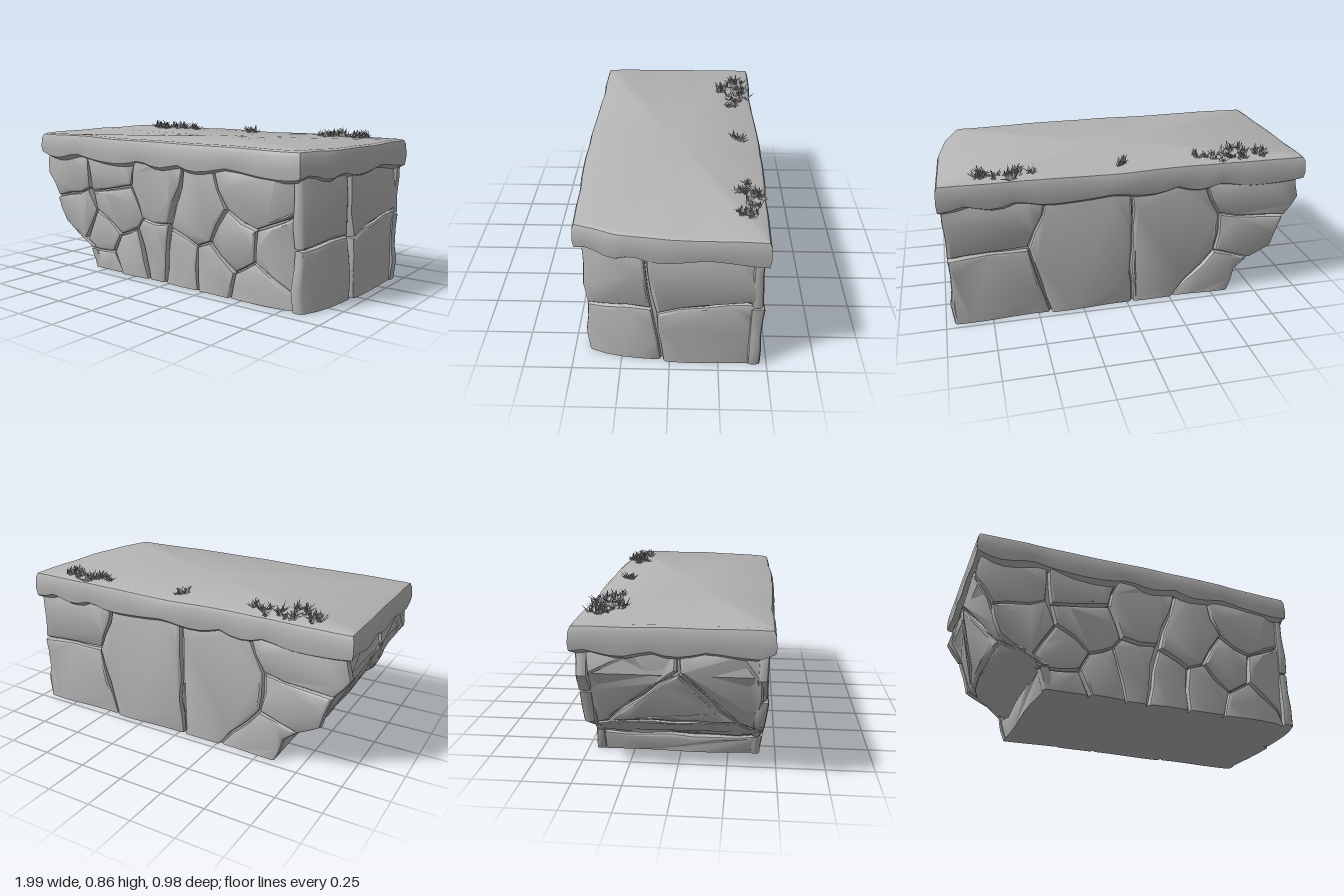
import * as THREE from 'three';
import { mergeGeometries, toCreasedNormals } from 'three/addons/utils/BufferGeometryUtils.js';

const stone = new THREE.MeshStandardMaterial({ color: 0xb4b4b4 });
stone.name = 'grey stone';
const foliage = new THREE.MeshStandardMaterial({ color: 0xa8a8a8, side: THREE.DoubleSide });
foliage.name = 'grey foliage';

let seed = 7;
const rand = () => (seed = (seed * 16807) % 2147483647) / 2147483647;

// Smooth unevenness, the same for coincident points
const rough = (a, b, c = 0) =>
  0.5 * Math.sin(a * 11 + b * 5 + c * 3) + 0.5 * Math.sin(b * 17 - a * 7 + c * 9 + 1.3);

// Profile [x, y] of the overhanging left end, and the curved right end
const overhang = [[-0.6, 0], [-0.64, 0.13], [-0.73, 0.18], [-0.84, 0.26], [-0.9, 0.43], [-0.99, 0.56], [-0.97, 0.69]];
function leftX(y) {
  const i = Math.max(1, overhang.findIndex(p => y <= p[1]));
  const [x0, y0] = overhang[i - 1], [x1, y1] = overhang[i];
  return THREE.MathUtils.mapLinear(THREE.MathUtils.clamp(y, y0, y1), y0, y1, x0, x1);
}
const rightX = z => 0.95 - 0.5 * Math.max(0, z) ** 2;

// Closed outline with each edge split into pieces of about the given length
function divide(corners, step) {
  return corners.flatMap(([x, y], i) => {
    const [x1, y1] = corners[(i + 1) % corners.length];
    const n = Math.ceil(Math.hypot(x1 - x, y1 - y) / step);
    return Array.from({ length: n }, (_, k) => [x + (x1 - x) * k / n, y + (y1 - y) * k / n]);
  });
}

// Skin over rings of [x, y, z], closed at both ends
function loft(rings) {
  const n = rings[0].length, top = rings.length - 1, pos = rings.flat(2), index = [];
  pos.push(0.1, rings[0][0][1], 0, 0, rings[top][0][1], 0);
  const low = rings.length * n;
  for (let i = 0; i < n; i++) {
    const j = (i + 1) % n;
    for (let r = 0; r < top * n; r += n) index.push(r + i, r + j, r + j + n, r + i, r + j + n, r + i + n);
    index.push(low, j, i, low + 1, top * n + i, top * n + j);
  }
  const g = new THREE.BufferGeometry();
  g.setAttribute('position', new THREE.Float32BufferAttribute(pos, 3));
  g.setIndex(index);
  return toCreasedNormals(g, 0.6);
}

// Each wall: its outline, one seed per stone, and where (along, up, out) lies in the model
const side = [[-0.43, 0], [0.44, 0], [0.44, 0.69], [-0.43, 0.69]];
const walls = {
  front: {
    outline: [[0.86, 0], [0.85, 0.69], ...overhang.toReversed()],
    seeds: [[-0.8, 0.57], [-0.74, 0.32], [-0.42, 0.61], [-0.38, 0.39], [-0.08, 0.52], [0.2, 0.42], [0.1, 0.13], [0.31, 0.12],
      [0.6, 0.55], [0.46, 0.27], [0.73, 0.27], [0.58, 0.08], [-0.1, 0.17], [-0.28, 0.12], [-0.5, 0.19], [-0.5, 0.04]],
    place: (s, y, d) => [s, y, 0.385 + 0.045 * y - 0.5 * Math.max(0, s - 0.74) + d],
  },
  right: {
    outline: side,
    seeds: [[-0.38, 0.5], [0.17, 0.56], [0.22, 0.2], [-0.33, 0.14]],
    place: (s, y, d) => [rightX(-s) - 0.04 + d, y, -s],
  },
  back: {
    outline: [[-0.96, 0], ...overhang.map(([x, y]) => [-x, y]), [-0.97, 0.69]],
    seeds: [[-0.78, 0.57], [-0.78, 0.22], [-0.25, 0.37], [0.3, 0.37], [0.76, 0.59], [0.73, 0.33], [0.63, 0.08]],
    place: (s, y, d) => [-s, y, -0.42 - d],
  },
  left: {
    outline: side,
    seeds: [[-0.2, 0.6], [0.25, 0.58], [0, 0.36], [0, 0.18], [0, 0.04]],
    place: (s, y, d) => [leftX(y) + 0.045 - d, y, s * 0.97],
  },
};

// Part of a wall outline nearer to one seed than to any other
function cell(seeds, own, outline) {
  const gap = (p, q) => (p[0] - q[0]) ** 2 + (p[1] - q[1]) ** 2;
  let poly = outline;
  for (const other of seeds) {
    if (other === own) continue;
    const lead = p => gap(p, other) - gap(p, own);
    poly = poly.flatMap((p, i) => {
      const q = poly[(i + 1) % poly.length], a = lead(p), b = lead(q), t = a / (a - b);
      const kept = a >= 0 ? [p] : [];
      if (a * b < 0) kept.push([p[0] + (q[0] - p[0]) * t, p[1] + (q[1] - p[1]) * t]);
      return kept;
    });
  }
  return poly.filter((p, i) => gap(p, poly[(i + 1) % poly.length]) > 0.0012);
}

// Bevelled stone on a wall, with wavering edges and an uneven face
function block(wall, own, depth) {
  const points = divide(cell(wall.seeds, own, wall.outline), 0.13);
  const shape = new THREE.Shape(points.map(p => new THREE.Vector2(...p)));
  const g = new THREE.ExtrudeGeometry(shape, {
    depth, bevelThickness: 0.02, bevelSize: 0.016, bevelOffset: -0.02, bevelSegments: 2,
  });
  const p = g.attributes.position;
  for (let i = 0; i < p.count; i++) {
    const s = p.getX(i), y = p.getY(i), d = p.getZ(i);
    const ds = 0.012 * rough(y * 2, s * 2), dy = y > 0.06 && y < 0.6 ? 0.012 * rough(s * 2, y * 2, 1) : 0;
    const bump = d > 0 ? 0.01 * rough(s, y, own[0]) : 0;
    p.setXYZ(i, ...wall.place(s + ds, y < 0.03 ? 0 : y + dy, d + bump));
  }
  g.deleteAttribute('uv');
  g.deleteAttribute('normal');
  return toCreasedNormals(g, 0.6);
}

// Core behind the stones, stepping in under the left end
function core() {
  const plan = divide([[-1, 0.395], [0.8, 0.375], [0.88, 0.2], [0.91, 0], [0.91, -0.43], [-1, -0.43]], 0.15);
  return loft(overhang.map(([end, y]) => plan.map(([x, z]) => {
    const t = (x + 1) / 1.91;
    return [(end + 0.03) * (1 - t) + 0.91 * t, y, z + (z > 0.3 ? 0.035 * y : 0)];
  })));
}

// Overhanging top slab with a scalloped lower edge
function slab() {
  const plan = divide([[-1, 0.475], [-0.5, 0.475], [0.12, 0.49], [0.86, 0.465], [0.935, 0.26], [0.975, 0],
    [0.99, -0.475], [0.1, -0.495], [-0.4, -0.475], [-1, -0.485]], 0.065);
  // Rows of inset, height and strength of the scallops
  const rows = [[0.09, 0.69, 0], [0.035, 0.655, 1], [0.005, 0.675, 1], [0, 0.715, 0.4], [0.004, 0.775, 0], [0.013, 0.797, 0], [0.03, 0.805, 0]];
  return loft(rows.map(([inset, y, wave]) => plan.map(([x, z], i) => {
    const scallop = 0.03 * (0.5 - Math.abs(Math.sin(i * 0.52 + 0.7 * Math.sin(i * 0.37))));
    const dent = 0.007 * Math.max(0, rough(x * 1.5, z * 1.5, y));
    return [x * (1 - inset), y + wave * scallop + 0.003 * rough(x, z), z * (1 - (inset + dent) / 0.49)];
  })));
}

// Tuft of pointed, flattened leaves
function tuft(x, z) {
  return Array.from({ length: 7 }, () => {
    const len = 0.03 + 0.03 * rand();
    const leaf = new THREE.ConeGeometry(len * 0.2, len, 3, 1, true);
    leaf.scale(1, 1, 0.35).translate(0, len / 2, 0);
    leaf.rotateX(0.25 + rand() * 1.1).rotateY(rand() * Math.PI * 2);
    return leaf.translate(x + (rand() - 0.5) * 0.02, 0.802, z + (rand() - 0.5) * 0.02);
  });
}

// Oval patch of scattered tufts
function leafPatch(x, z, w, d, count) {
  return mergeGeometries(Array.from({ length: count }, () => {
    const a = rand() * Math.PI * 2, r = Math.sqrt(rand());
    return tuft(x + w * r * Math.cos(a), z + d * r * Math.sin(a));
  }).flat());
}

export function createModel() {
  const model = new THREE.Group();
  model.name = 'cliffBlock';
  const add = (name, geometry, material, parent = model) => {
    const mesh = new THREE.Mesh(geometry, material);
    mesh.name = name;
    parent.add(mesh);
  };
  add('rockCore', core(), stone);
  add('topSlab', slab(), stone);
  for (const [name, wall] of Object.entries(walls)) {
    const group = new THREE.Group();
    group.name = name + 'Stones';
    model.add(group);
    wall.seeds.forEach((own, i) => add(`${name}Stone${i + 1}`, block(wall, own, 0.012 + 0.005 * (i * 2 % 3)), stone, group));
  }
  add('leftLeafPatch', leafPatch(-0.63, -0.37, 0.18, 0.1, 26), foliage);
  add('smallLeafPatch', leafPatch(-0.41, -0.345, 0.02, 0.02, 3), foliage);
  add('middleLeafPatch', leafPatch(0.02, -0.365, 0.03, 0.03, 4), foliage);
  add('rightLeafPatch', leafPatch(0.64, -0.385, 0.16, 0.07, 24), foliage);
  return model;
}
